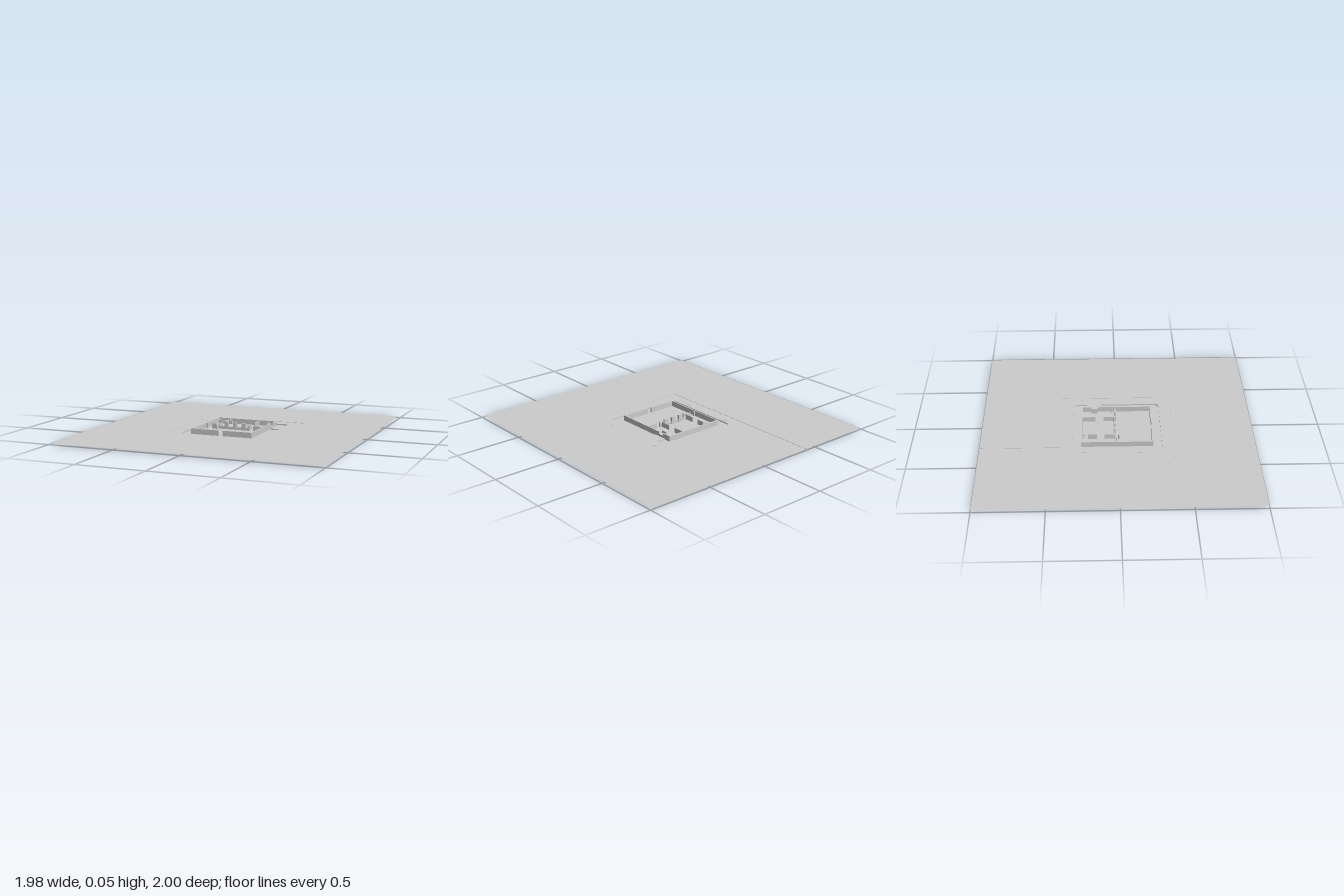
import * as THREE from 'three';

const flatMat = new THREE.MeshStandardMaterial({ color: 0xcccccc, side: THREE.DoubleSide, flatShading: true });
const solidMat = new THREE.MeshStandardMaterial({ color: 0xcccccc, flatShading: true });

// Levels
const GROUND = 0.011, COURT = 0.009, PLAZA = 0, WALL_TOP = 0.04;

export function createModel() {
  const model = new THREE.Group();

  function add(parent, name, geometry, material) {
    const mesh = new THREE.Mesh(geometry, material);
    mesh.name = name;
    parent.add(mesh);
    return mesh;
  }

  // Horizontal sheet from [x, z] corners, with an optional opening
  function sheet(name, points, y, hole) {
    const toVec = ([x, z]) => new THREE.Vector2(x, -z);
    const shape = new THREE.Shape(points.map(toVec));
    if (hole) shape.holes.push(new THREE.Path(hole.map(toVec)));
    const geometry = new THREE.ShapeGeometry(shape);
    geometry.rotateX(-Math.PI / 2).translate(0, y, 0);
    add(model, name, geometry, flatMat);
  }

  // Upright strip following [x, z] corners
  function riser(name, points, y0, y1) {
    const pos = [], index = [];
    points.forEach(([x, z], i) => {
      pos.push(x, y0, z, x, y1, z);
      if (i) index.push(2 * i - 2, 2 * i, 2 * i - 1, 2 * i - 1, 2 * i, 2 * i + 1);
    });
    const geometry = new THREE.BufferGeometry();
    geometry.setAttribute('position', new THREE.Float32BufferAttribute(pos, 3));
    geometry.setIndex(index);
    geometry.computeVertexNormals();
    add(model, name, geometry, flatMat);
  }

  function block(parent, name, x0, x1, z0, z1, y0, y1) {
    const geometry = new THREE.BoxGeometry(x1 - x0, y1 - y0, z1 - z0);
    geometry.translate((x0 + x1) / 2, (y0 + y1) / 2, (z0 + z1) / 2);
    return add(parent, name, geometry, solidMat);
  }

  // Courtyard and the road leading to the back edge
  const court = [[-0.41, -1], [-0.41, 0.41], [0.385, 0.41], [0.385, -0.415], [-0.275, -0.415], [-0.275, -1]];

  // Sunken plaza with rounded corners and a path notch on the left side
  const plaza = [];
  const corner = (cx, cz, start) => {
    for (let i = 0; i <= 4; i++) {
      const a = start + (i / 4) * Math.PI / 2;
      plaza.push([cx + 0.035 * Math.cos(a), cz + 0.035 * Math.sin(a)]);
    }
  };
  corner(0.26, 0.287, 0);
  corner(-0.28, 0.287, Math.PI / 2);
  corner(-0.28, -0.293, Math.PI);
  corner(0.26, -0.293, Math.PI * 1.5);
  plaza.push([0.295, -0.22], [0.225, -0.22], [0.225, -0.115], [0.295, -0.115]);

  sheet('ground', [[-0.99, -1], ...court, [0.985, -1], [0.985, 1], [-0.99, 1]], GROUND);
  sheet('courtyardAndRoad', court, COURT, plaza);
  sheet('plazaFloor', plaza, PLAZA);
  riser('courtyardKerb', court, COURT, GROUND);
  riser('plazaEdge', [...plaza, plaza[0]], PLAZA, COURT);

  // Outer walls with a front doorway
  const building = new THREE.Group();
  building.name = 'building';
  model.add(building);
  const t = 0.01, W = -0.255, E = 0.22, N = -0.265, S = 0.26;
  block(building, 'backWall', W, E, N, N + t, PLAZA, WALL_TOP);
  block(building, 'rightWall', W, W + t, N + t, S - t, PLAZA, WALL_TOP);
  block(building, 'frontWallRight', W, -0.037, S - t, S, PLAZA, WALL_TOP);
  block(building, 'frontWallLeft', -0.003, E, S - t, S, PLAZA, WALL_TOP);

  // Left wall with a side entrance recess
  block(building, 'leftWallBack', E - t, E, N + t, -0.19, PLAZA, WALL_TOP);
  block(building, 'leftWallFront', E - t, E, -0.145, S - t, PLAZA, WALL_TOP);
  block(building, 'sideEntranceSill', E - 0.032, E, -0.19, -0.145, PLAZA, 0.022);
  block(building, 'sideEntranceBack', E - 0.035, E - 0.031, -0.19, -0.145, PLAZA, WALL_TOP);

  // Inner partitions
  const inner = [
    [-0.154, -0.148, N + t, -0.235], [-0.154, -0.148, -0.215, -0.15], [-0.154, -0.148, -0.095, -0.02],
    [0.078, 0.084, N + t, -0.16], [0.078, 0.084, -0.1, -0.02],
    [W + t, -0.235, -0.014, -0.006], [-0.2, -0.16, -0.014, -0.006],
    [0.085, 0.1, -0.014, -0.006], [0.13, E - t, -0.014, -0.006],
  ];
  inner.forEach(([x0, x1, z0, z1]) => block(building, 'partition', x0, x1, z0, z1, PLAZA, 0.037));

  // Low screen carrying three tall piers
  block(building, 'screenBase', -0.154, 0.084, -0.024, -0.016, PLAZA, 0.02);
  for (const x of [-0.088, -0.019, 0.05]) {
    block(building, 'pier', x - 0.015, x + 0.015, -0.027, -0.013, PLAZA, 0.053);
  }

  // Counter, column and small pillar
  block(building, 'counter', -0.24, -0.13, -0.25, -0.23, PLAZA, 0.025);
  block(building, 'smallPillar', 0.197, 0.213, -0.043, -0.03, PLAZA, 0.046);
  const column = add(building, 'column', new THREE.CylinderGeometry(0.008, 0.008, 0.037, 12), solidMat);
  column.position.set(-0.155, 0.0185, 0.011);

  // Low markers around the courtyard
  const markers = [[-0.35, -0.245], [-0.335, -0.245], [-0.35, 0.165], [-0.335, 0.165], [0.36, -0.27], [0.36, 0.23]];
  markers.forEach(([x, z]) => block(model, 'courtyardMarker', x - 0.002, x + 0.002, z - 0.014, z + 0.014, COURT, GROUND));

  return model;
}
